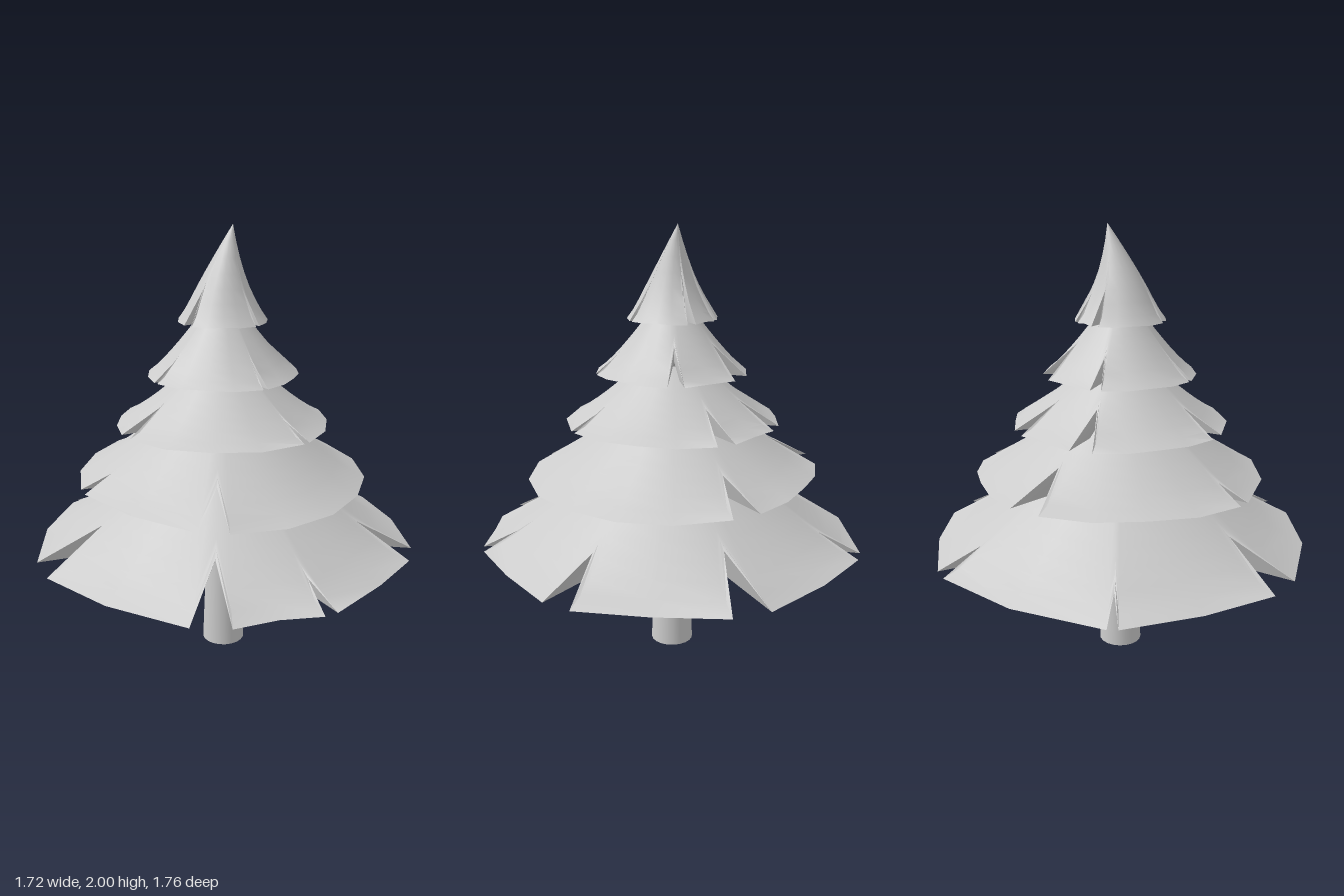
import * as THREE from 'three';
import { toCreasedNormals } from 'three/addons/utils/BufferGeometryUtils.js';

const material = new THREE.MeshStandardMaterial({ color: 0xcccccc, side: THREE.DoubleSide });
const lerp = THREE.MathUtils.lerp;
const CX = -0.02; // trunk axis

// R, rim: radius and height of the rim; topR, top: where the tier ends above;
// notch: depth ratio of a hairline notch; flaps: start and end angle of each flap
const tiers = [
  { name: 'lowestBranches', R: 0.88, rim: 0.54, topR: 0.39, top: 0.86, tilt: 0, notch: 0.88,
    flaps: [[-82, -39], [-30, 10], [14, 39], [50, 101], [112, 159], [162, 218], [223, 267]] },
  { name: 'lowerBranches', R: 0.67, rim: 0.865, topR: 0.27, top: 1.14, tilt: -0.034, notch: 0.9,
    flaps: [[-88, 39], [50, 105], [110, 188], [201, 261]] },
  { name: 'middleBranches', R: 0.49, rim: 1.12, topR: 0.17, top: 1.36, tilt: 0, notch: 0.82,
    flaps: [[-89, -7], [-3, 96], [105, 172], [184, 219], [229, 261]] },
  { name: 'upperBranches', R: 0.345, rim: 1.345, topR: 0.11, top: 1.6, tilt: 0, notch: 0.8,
    flaps: [[-118, -75], [-63, 8], [12, 96], [100, 172], [180, 223]] },
  { name: 'treeTop', R: 0.205, rim: 1.585, topR: 0, top: 2, tilt: 0, notch: 0.76,
    flaps: [[-85, -8], [-2, 82], [95, 185], [195, 222], [230, 264]] },
];

// Rim outline as [angle, radius] points: flaps jut at their corners, wide gaps cut deeper
function rimOutline({ R, notch, flaps }) {
  const points = [];
  flaps.forEach(([start, end], i) => {
    const n = Math.max(2, 2 * Math.round((end - start) / 40));
    for (let k = 0; k <= n; k++) {
      const corner = Math.abs(2 * k / n - 1);
      points.push([lerp(start, end, k / n), R * lerp(0.975, 1.01, corner)]);
    }
    const next = i + 1 < flaps.length ? flaps[i + 1][0] : flaps[0][0] + 360;
    points.push([(end + next) / 2, R * Math.max(0.58, notch - 0.018 * (next - end))]);
  });
  return points;
}

// Flared skirt of notched flaps with a recessed underside
function branchTier(tier) {
  const { R, rim, topR, top, tilt } = tier;
  const height = top - rim;
  const yAt = (r) => rim + height * Math.pow(Math.max(0, (R - r) / (R - topR)), 1.22);
  const outline = rimOutline(tier);
  const skinRows = 7;
  const rows = skinRows + 3;
  const positions = [];
  const indices = [];
  const underY = yAt(R * 0.62) - height * 0.18;

  for (const [angle, rOut] of outline) {
    const a = THREE.MathUtils.degToRad(angle);
    const section = [];
    for (let j = 0; j <= skinRows; j++) {
      const r = lerp(topR * 0.8, rOut, j / skinRows);
      section.push([r, yAt(r)]);
    }
    section.push([Math.min(R * 0.62, rOut * 0.92), Math.min(underY, yAt(rOut))], [0, underY]);
    for (const [r, y] of section) {
      const x = CX + r * Math.cos(a);
      // the tip leans backwards
      const bend = y > 1.7 ? -0.06 * Math.pow((y - 1.7) / 0.3, 1.6) : 0;
      positions.push(x, y + tilt * x, r * Math.sin(a) + bend);
    }
  }
  for (let i = 0; i < outline.length; i++) {
    const next = (i + 1) % outline.length;
    for (let j = 0; j < rows - 1; j++) {
      const a = i * rows + j;
      const b = next * rows + j;
      indices.push(a, b, a + 1, b, b + 1, a + 1);
    }
  }
  const geometry = new THREE.BufferGeometry();
  geometry.setAttribute('position', new THREE.Float32BufferAttribute(positions, 3));
  geometry.setIndex(indices);
  return toCreasedNormals(geometry, 0.8);
}

export function createModel() {
  const tree = new THREE.Group();
  tree.name = 'pineTree';

  // Tapered trunk reaching into the lowest tier
  const trunk = new THREE.Mesh(new THREE.CylinderGeometry(0.07, 0.1, 0.72, 20), material);
  trunk.name = 'trunk';
  trunk.position.set(CX, 0.36, 0);
  tree.add(trunk);

  // Five stacked tiers of branches
  for (const tier of tiers) {
    const mesh = new THREE.Mesh(branchTier(tier), material);
    mesh.name = tier.name;
    tree.add(mesh);
  }
  return tree;
}
